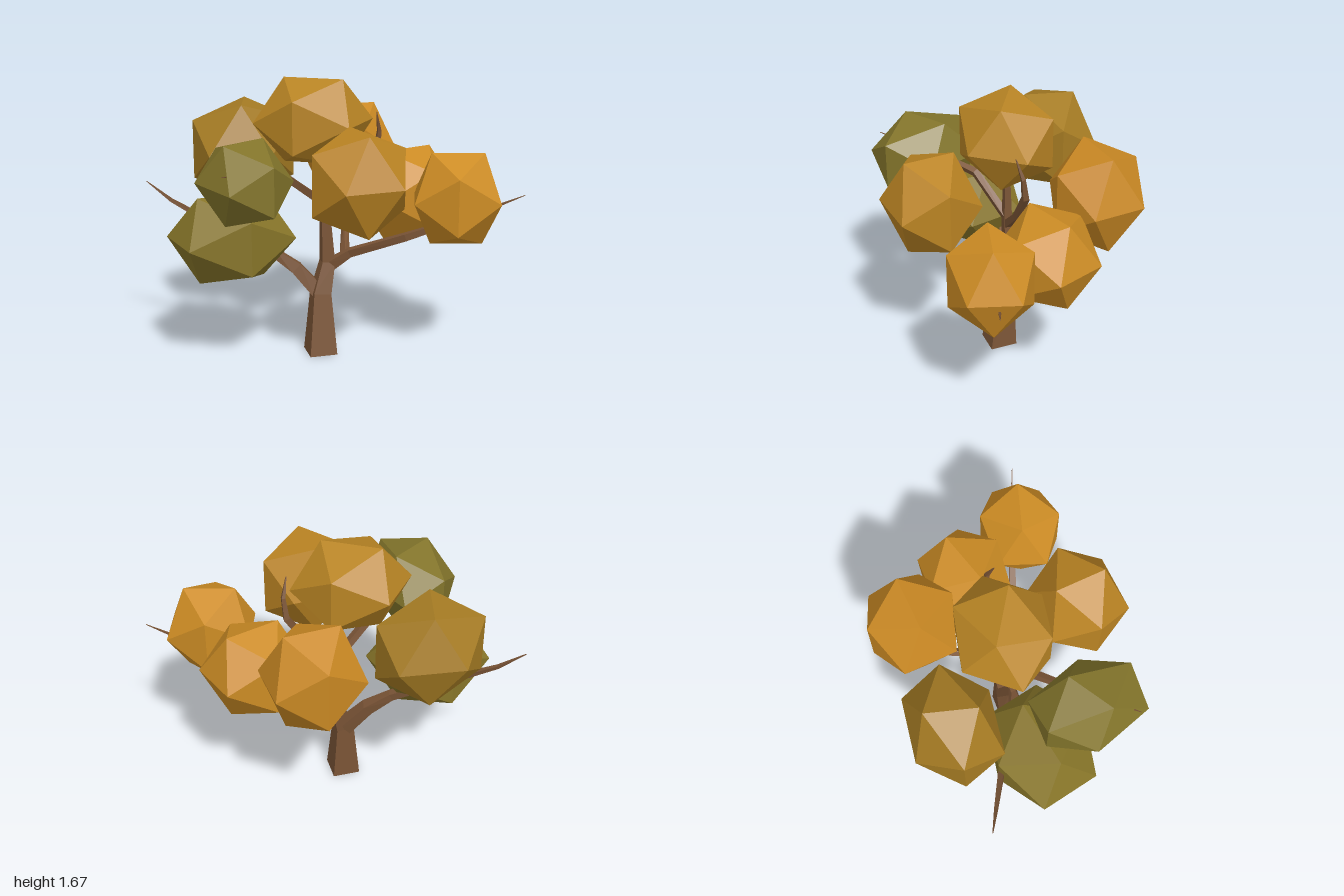
import * as THREE from 'three';

const material = color => new THREE.MeshStandardMaterial({ color, flatShading: true });
const bark = material(0x7a5436);

// Four-sided tapering limb through points [x, y, z, radius]
function limb(name, points, turn = 0.6) {
  const sides = 4, pos = [], index = [];
  const centres = points.map(p => new THREE.Vector3(p[0], p[1], p[2]));
  const ref = new THREE.Vector3(0.1, 0, 1).normalize();
  centres.forEach((c, i) => {
    const before = centres[Math.max(i - 1, 0)], after = centres[Math.min(i + 1, centres.length - 1)];
    const t = after.clone().sub(before).normalize();
    if (c.y === 0) t.set(0, 1, 0); // keep the foot level
    const u = ref.clone().cross(t).normalize(), v = t.clone().cross(u);
    for (let j = 0; j < sides; j++) {
      const a = turn + (j / sides) * Math.PI * 2, r = points[i][3];
      const p = c.clone().addScaledVector(u, r * Math.cos(a)).addScaledVector(v, r * Math.sin(a));
      pos.push(p.x, p.y, p.z);
    }
  });
  for (let i = 0; i < centres.length - 1; i++) {
    for (let j = 0; j < sides; j++) {
      const k = (j + 1) % sides, a = i * sides + j, b = i * sides + k;
      index.push(a, b, b + sides, a, b + sides, a + sides);
    }
  }
  const e = pos.length / 3 - sides;
  index.push(0, 2, 1, 0, 3, 2, e, e + 1, e + 2, e, e + 2, e + 3); // end caps
  const geometry = new THREE.BufferGeometry();
  geometry.setAttribute('position', new THREE.Float32BufferAttribute(pos, 3));
  geometry.setIndex(index);
  geometry.computeVertexNormals();
  const mesh = new THREE.Mesh(geometry, bark);
  mesh.name = name;
  return mesh;
}

// Icosahedron with an edge on top, turned about y, then stretched to its half sizes
function clump(name, color, centre, half, degrees) {
  const g = new THREE.IcosahedronGeometry(1, 0);
  g.rotateZ(Math.PI / 2);
  g.rotateY(THREE.MathUtils.degToRad(degrees));
  g.computeBoundingBox();
  const m = g.boundingBox.max;
  g.scale(half[0] / m.x, half[1] / m.y, half[2] / m.z);
  g.translate(...centre);
  const mesh = new THREE.Mesh(g, material(color));
  mesh.name = name;
  return mesh;
}

export function createModel() {
  const tree = new THREE.Group();
  tree.name = 'tree';

  // Trunk and limbs
  tree.add(
    limb('trunk', [[-0.08, 0, 0.035, 0.118], [-0.07, 0.37, 0.01, 0.075], [-0.02, 0.56, -0.01, 0.055],
      [-0.04, 0.9, 0, 0.035], [-0.04, 1.25, 0, 0.02]]),
    limb('leftBranch', [[-0.07, 0.36, 0, 0.06], [-0.2, 0.52, -0.06, 0.05], [-0.33, 0.62, -0.12, 0.035],
      [-0.65, 0.78, -0.29, 0.025], [-0.87, 0.91, -0.43, 0.014], [-1, 1.02, -0.51, 0.003]]),
    limb('rightBranch', [[0, 0.54, 0, 0.045], [0.1, 0.62, 0.06, 0.033], [0.37, 0.75, 0.27, 0.03],
      [0.7, 0.88, 0.42, 0.018], [0.99, 1.02, 0.56, 0.002]]),
    limb('backBranch', [[0.08, 0.6, 0.02, 0.03], [0.18, 0.68, -0.24, 0.025], [0.25, 0.88, -0.4, 0.02],
      [0.27, 1.15, -0.42, 0.005]]),
    limb('upperRightBranch', [[-0.03, 0.88, 0, 0.03], [0.13, 1.02, 0.02, 0.028], [0.27, 1.22, 0.04, 0.025],
      [0.28, 1.35, 0.06, 0.016], [0.25, 1.47, 0.09, 0.003]]),
    limb('upperLeftBranch', [[-0.04, 0.92, 0, 0.03], [-0.3, 1.12, 0.08, 0.028], [-0.55, 1.2, 0.28, 0.018],
      [-0.79, 1.26, 0.49, 0.002]])
  );

  // Leaf clumps
  tree.add(
    clump('topLeaves', 0xb88424, [-0.1, 1.42, -0.025], [0.355, 0.25, 0.295], 50),
    clump('frontLeaves', 0xbb8423, [-0.015, 1.165, 0.495], [0.275, 0.285, 0.245], 0),
    clump('backLeftLeaves', 0xa57b23, [-0.4, 1.19, -0.47], [0.3, 0.29, 0.27], -15),
    clump('backRightLeaves', 0xc98823, [0.275, 1.13, -0.42], [0.265, 0.3, 0.26], 90),
    clump('rightLeaves', 0xcb8b24, [0.485, 0.95, 0.005], [0.305, 0.27, 0.245], 104),
    clump('frontRightLeaves', 0xcd8c24, [0.618, 1, 0.43], [0.288, 0.27, 0.22], 68),
    clump('lowLeftLeaves', 0x877529, [-0.61, 0.767, -0.02], [0.35, 0.256, 0.29], 97),
    clump('frontLeftLeaves', 0x83752b, [-0.605, 1.165, 0.265], [0.265, 0.225, 0.295], 111)
  );
  return tree;
}
